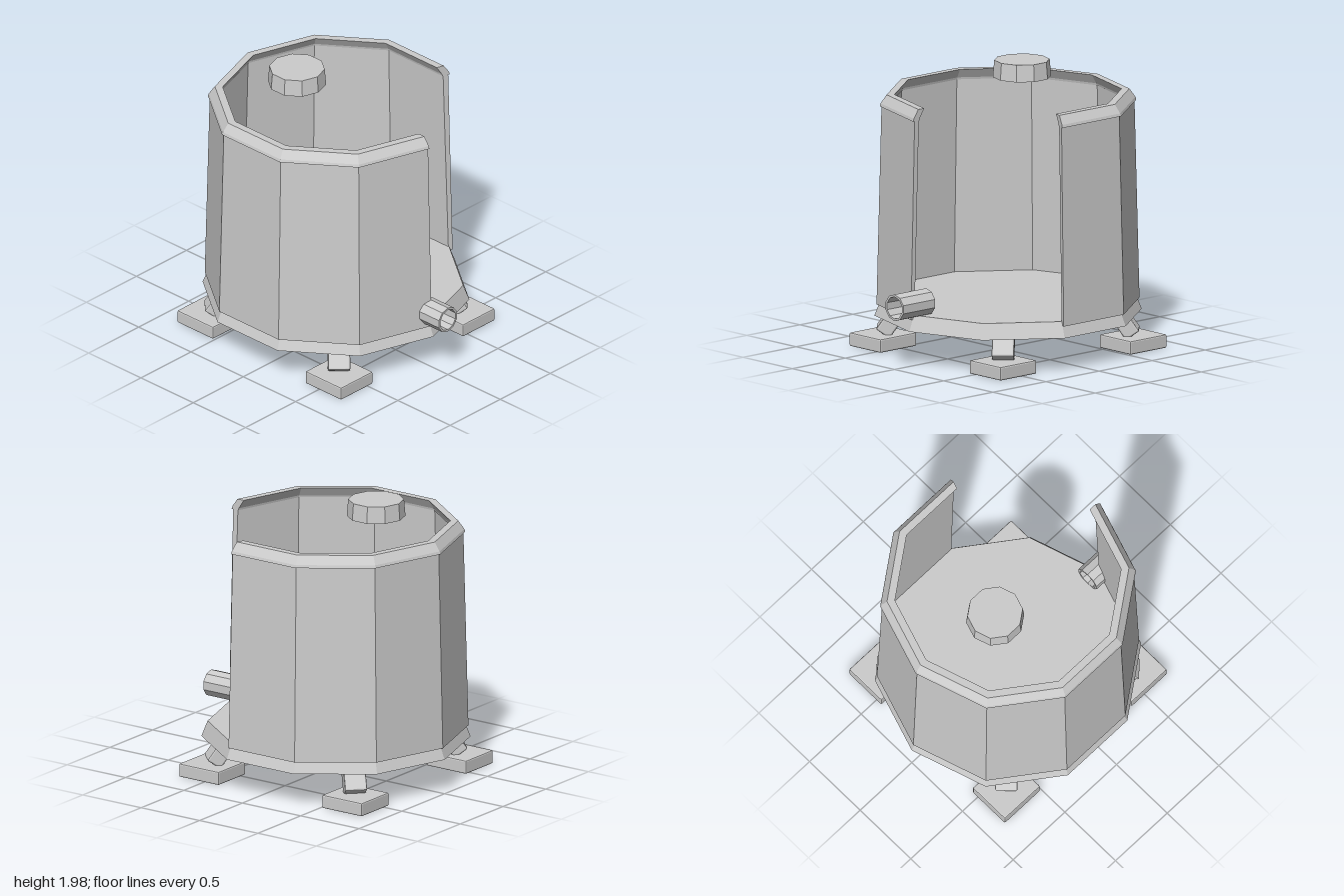
import * as THREE from 'three';
import { RoundedBoxGeometry } from 'three/addons/geometries/RoundedBoxGeometry.js';

const SIDES = 10;
const STEP = (Math.PI * 2) / SIDES;
const CENTRE_X = -0.07;

export function createModel() {
  const model = new THREE.Group();
  const grey = new THREE.MeshStandardMaterial({ color: 0xcccccc, flatShading: true, side: THREE.DoubleSide });
  grey.name = 'light grey metal';

  function add(parent, name, geometry, x = 0, y = 0, z = 0) {
    const mesh = new THREE.Mesh(geometry, grey);
    mesh.name = name;
    mesh.position.set(x, y, z);
    parent.add(mesh);
    return mesh;
  }

  // Ten-sided frustum with a corner on the x axis
  const frustum = (top, bottom, height) =>
    new THREE.CylinderGeometry(top, bottom, height, SIDES, 1, false, Math.PI / 2);

  const tank = new THREE.Group();
  tank.name = 'tank';
  tank.position.x = CENTRE_X;
  model.add(tank);

  // Solid base with a flared skirt
  add(tank, 'base', frustum(0.887, 0.93, 0.11), 0, 0.305, 0);

  // Eight of ten panels; the two at the back of the +x side are open
  const start = Math.PI / 2 + 2 * STEP;
  const panels = SIDES - 2;
  function partialRing(name, profile) {
    const points = profile.map(([r, y]) => new THREE.Vector2(r, y));
    const ring = new THREE.Group();
    ring.name = name;
    tank.add(ring);
    add(ring, name + 'Panels', new THREE.LatheGeometry([...points, points[0].clone()], panels, start, panels * STEP));
    // Close the two cut ends
    for (const phi of [start, start + panels * STEP]) {
      const cap = add(ring, name + 'End', new THREE.ShapeGeometry(new THREE.Shape(points)));
      cap.rotation.y = phi - Math.PI / 2;
    }
  }
  partialRing('wall', [[0.915, 0.33], [0.88, 1.745], [0.84, 1.745], [0.882, 0.33]]);
  partialRing('rim', [[0.893, 1.73], [0.887, 1.75], [0.845, 1.81], [0.79, 1.81], [0.832, 1.745], [0.836, 1.73]]);

  // Separate knob above the open tank
  add(model, 'knob', frustum(0.193, 0.203, 0.12), -0.32, 1.92, 0.128);

  // Hollow outlet pipe through the wall
  const pipeProfile = [[0.094, 0], [0.094, 0.3], [0.078, 0.3], [0.078, 0], [0.094, 0]]
    .map(([r, y]) => new THREE.Vector2(r, y));
  const pipe = add(model, 'outletPipe', new THREE.LatheGeometry(pipeProfile, SIDES, Math.PI / 2), 0.7, 0.44, 0);
  pipe.rotation.z = -Math.PI / 2;

  // Four splayed legs on square feet
  for (const sx of [-1, 1]) {
    for (const sz of [-1, 1]) {
      const support = new THREE.Group();
      support.name = (sz > 0 ? 'front' : 'back') + (sx > 0 ? 'Left' : 'Right') + 'Support';
      support.position.set(CENTRE_X + sx * 0.613, 0, sz * 0.61);
      model.add(support);
      add(support, 'foot', new RoundedBoxGeometry(0.342, 0.096, 0.318, 1, 0.01), 0, 0.052, 0);

      // Local z points outwards along the diagonal; the leg tips in at the top
      const pivot = new THREE.Group();
      pivot.name = 'legMount';
      pivot.position.y = 0.105;
      pivot.rotation.y = Math.atan2(sx, sz);
      support.add(pivot);
      const tilt = new THREE.Group();
      tilt.name = 'legTilt';
      tilt.rotation.x = -0.61;
      pivot.add(tilt);
      add(tilt, 'leg', new RoundedBoxGeometry(0.155, 0.26, 0.115, 1, 0.012), 0, 0.13, 0);
    }
  }

  // Stand on the ground
  model.position.y = -0.004;
  return model;
}
